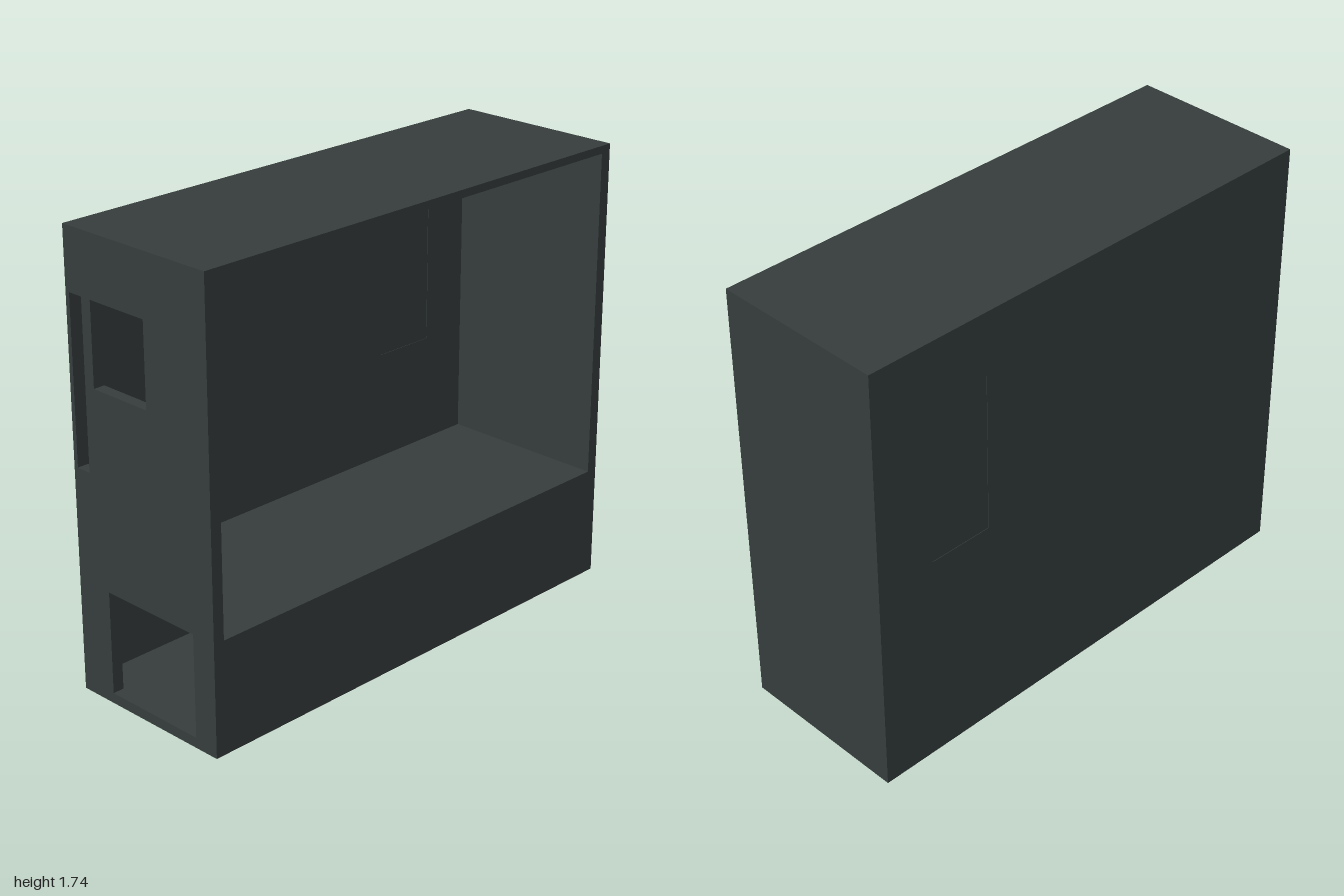
import * as THREE from 'three';

const W = 0.345, H = 1.735, T = 0.045; // half width, height, end wall thickness
const IN = 1 - T; // half length inside the end walls

function rectPoints(x0, x1, y0, y1) {
  return [[x0, y0], [x1, y0], [x1, y1], [x0, y1]].map(([x, y]) => new THREE.Vector2(x, y));
}

// Flat wall with rectangular openings
function wallGeometry(outer, openings, depth) {
  const shape = new THREE.Shape(rectPoints(...outer));
  for (const o of openings) shape.holes.push(new THREE.Path(rectPoints(...o)));
  return new THREE.ExtrudeGeometry(shape, { depth, bevelEnabled: false });
}

export function createModel() {
  const group = new THREE.Group();
  const material = new THREE.MeshStandardMaterial({ color: 0x373e3e });
  material.name = 'dark slate';

  const add = (name, geometry) => {
    const mesh = new THREE.Mesh(geometry, material);
    mesh.name = name;
    group.add(mesh);
    return mesh;
  };
  const addBox = (name, x0, x1, y0, y1, z0, z1) =>
    add(name, new THREE.BoxGeometry(x1 - x0, y1 - y0, z1 - z0))
      .position.set((x0 + x1) / 2, (y0 + y1) / 2, (z0 + z1) / 2);

  // Front wall with a window, a tall slot and a low hatch
  const openings = [
    [-0.22, 0.045, 1.185, 1.5],
    [-0.327, -0.265, 0.865, 1.5],
    [-0.19, 0.243, 0.04, 0.436],
  ];
  add('frontWall', wallGeometry([-W, W, 0, H], openings, T)).position.z = IN;

  // Closed long side with a barely recessed panel
  const panel = [-0.76, -0.5, 0.86, 1.49];
  const side = add('longSideWall', wallGeometry([-IN, IN, 0.04, 1.705], [panel], 0.015));
  side.rotation.y = -Math.PI / 2;
  side.position.x = -0.33;
  addBox('sidePanel', -0.343, -0.332, panel[2], panel[3], panel[0], panel[1]);

  // Remaining shell
  addBox('backWall', -W, W, 0, H, -1, -IN);
  addBox('roof', -W, W, 1.705, H, -IN, IN);
  addBox('base', -W, W, 0, 0.04, -IN, IN);
  addBox('lowSideWall', 0.325, W, 0.04, 0.434, -IN, IN);

  // Deck between the open upper bay and the lower compartment
  addBox('deck', -0.33, 0.325, 0.408, 0.434, -IN, IN);

  return group;
}
